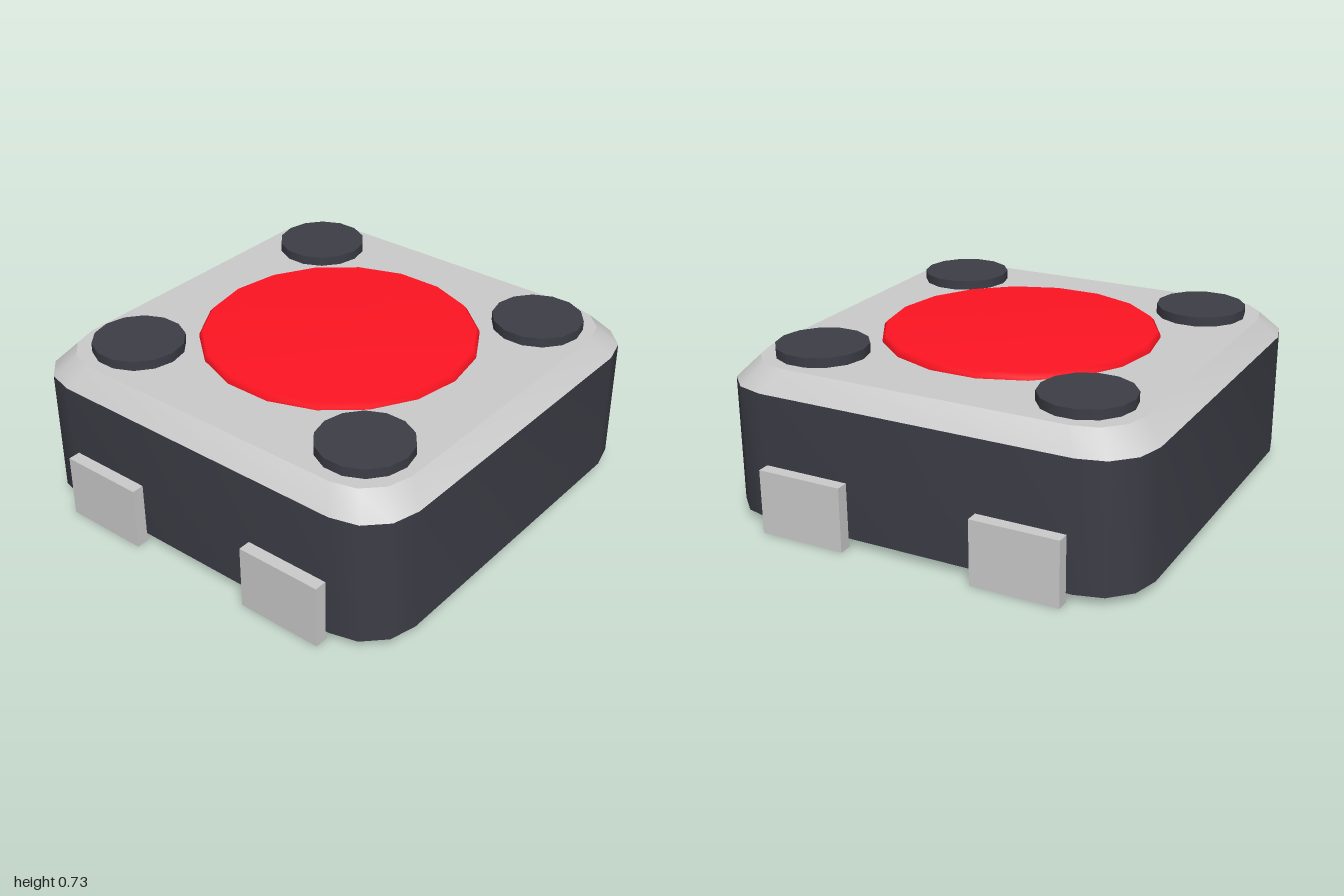
import * as THREE from 'three';
import { toCreasedNormals } from 'three/addons/utils/BufferGeometryUtils.js';

const grey = new THREE.MeshStandardMaterial({ color: 0xcccccc });
const dark = new THREE.MeshStandardMaterial({ color: 0x3d3d47 });
const red = new THREE.MeshStandardMaterial({ color: 0xff1422 });

// Square ring with rounded corners, three facets per corner
function roundedRing(half, radius, y) {
  const ring = [];
  for (let corner = 0; corner < 4; corner++) {
    const mid = Math.PI / 4 + corner * Math.PI / 2;
    const cx = Math.sign(Math.cos(mid)) * (half - radius);
    const cz = Math.sign(Math.sin(mid)) * (half - radius);
    for (let i = 0; i <= 3; i++) {
      const a = corner * Math.PI / 2 + i * Math.PI / 6;
      ring.push([cx + radius * Math.cos(a), y, cz + radius * Math.sin(a)]);
    }
  }
  return ring;
}

// Closed solid between a lower and an upper ring
function ringSolid(lower, upper) {
  const points = [];
  const n = lower.length;
  const bottom = [0, lower[0][1], 0];
  const top = [0, upper[0][1], 0];
  for (let i = 0; i < n; i++) {
    const j = (i + 1) % n;
    points.push(lower[i], upper[i], upper[j], lower[i], upper[j], lower[j]);
    points.push(top, upper[j], upper[i], bottom, lower[i], lower[j]);
  }
  const geometry = new THREE.BufferGeometry();
  geometry.setAttribute('position', new THREE.Float32BufferAttribute(points.flat(), 3));
  return toCreasedNormals(geometry, THREE.MathUtils.degToRad(36));
}

export function createModel() {
  const model = new THREE.Group();
  model.name = 'pushButtonSwitch';

  function add(name, geometry, material, x = 0, y = 0, z = 0) {
    const mesh = new THREE.Mesh(geometry, material);
    mesh.name = name;
    mesh.position.set(x, y, z);
    model.add(mesh);
  }

  // Housing and bevelled metal cover
  add('housing', ringSolid(roundedRing(0.945, 0.24, 0.04), roundedRing(0.945, 0.24, 0.6)), dark);
  add('coverPlate', ringSolid(roundedRing(0.945, 0.24, 0.6), roundedRing(0.865, 0.22, 0.69)), grey);

  // Round button with a softened rim
  const profile = [[0.607, 0.67], [0.607, 0.702], [0.592, 0.719], [0, 0.721]]
    .map(([r, y]) => new THREE.Vector2(r, y));
  add('button', new THREE.LatheGeometry(profile, 18), red);

  // Corner rivets and side terminals
  const rivet = new THREE.CylinderGeometry(0.2, 0.2, 0.06, 14);
  const terminal = new THREE.BoxGeometry(0.06, 0.286, 0.388);
  for (const x of [-1, 1]) {
    for (const z of [-1, 1]) {
      const side = (z > 0 ? 'front' : 'back') + (x > 0 ? 'Left' : 'Right');
      add(side + 'Rivet', rivet, dark, x * 0.614, 0.702, z * 0.61 + 0.007);
      add(side + 'Terminal', terminal, grey, x * 0.97, 0.143, z * 0.49 + 0.006);
    }
  }
  return model;
}
